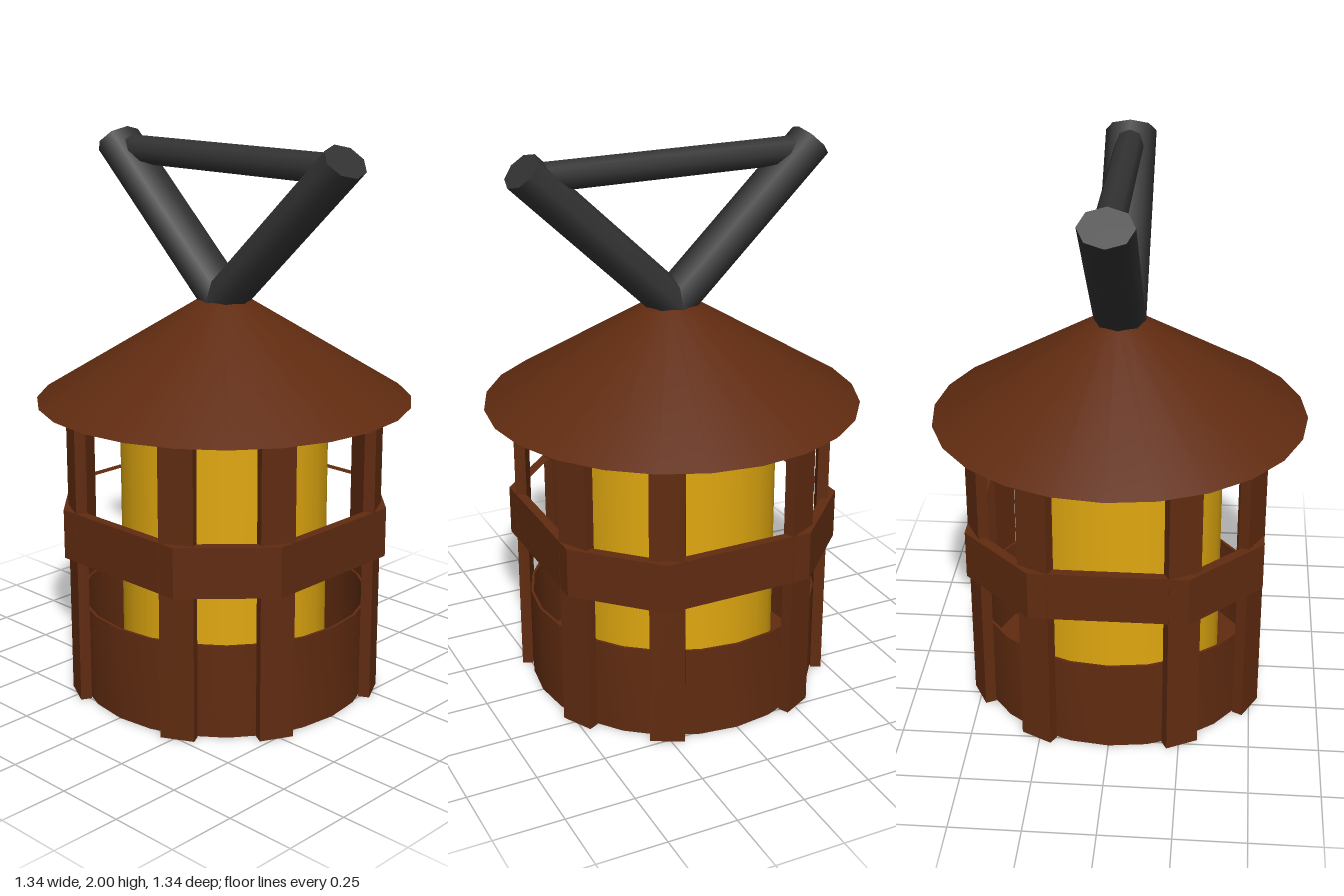
import * as THREE from 'three';
import { toCreasedNormals } from 'three/addons/utils/BufferGeometryUtils.js';

const brown = new THREE.MeshStandardMaterial({ color: 0x602b10 });
const brownThin = new THREE.MeshStandardMaterial({ color: 0x602b10, side: THREE.DoubleSide });
const amber = new THREE.MeshStandardMaterial({ color: 0xe0a810 });
const dark = new THREE.MeshStandardMaterial({ color: 0x333333 });

export function createModel() {
  const lantern = new THREE.Group();
  lantern.name = 'lantern';

  const add = (name, geometry, material) => {
    const mesh = new THREE.Mesh(geometry, material);
    mesh.name = name;
    lantern.add(mesh);
    return mesh;
  };
  const lathe = (points) => toCreasedNormals(
    new THREE.LatheGeometry(points.map(([r, y]) => new THREE.Vector2(r, y)), 24), 0.6);

  // Hollow cup at the bottom, open at the top
  add('base', lathe([[0, 0], [0.53, 0], [0.53, 0.34], [0.52, 0.34], [0.52, 0.01], [0, 0.01]]), brownThin);

  // Glowing core
  const core = add('lightCore', new THREE.CylinderGeometry(0.375, 0.375, 1.06, 24), amber);
  core.position.y = 0.545;

  // Conical roof with a softened tip and a flat underside
  add('roof', lathe([[0, 1.075], [0.67, 1.075], [0.1, 1.425], [0.05, 1.445], [0, 1.45]]), brown);

  // Eight posts, in pairs either side of each chamfered corner
  const tilt = THREE.MathUtils.degToRad(27.5);
  const angles = [];
  for (let i = 0; i < 4; i++) angles.push(i * Math.PI / 2 - tilt, i * Math.PI / 2 + tilt);
  const postDepth = 0.04;
  for (const a of angles) {
    const post = add('post', new THREE.BoxGeometry(0.122, 1.075, postDepth), brown);
    const r = 0.567 - postDepth / 2;
    post.position.set(r * Math.sin(a), 0.5375, r * Math.cos(a));
    post.rotation.y = a;
  }

  // Eight-sided band wrapping the posts
  const ring = (r) => angles.map((a) => new THREE.Vector2(r * Math.sin(a), r * Math.cos(a)));
  const bandShape = new THREE.Shape(ring(0.598));
  bandShape.holes.push(new THREE.Path(ring(0.56)));
  const bandGeometry = new THREE.ExtrudeGeometry(bandShape, { depth: 0.18, bevelEnabled: false });
  bandGeometry.rotateX(-Math.PI / 2).translate(0, 0.53, 0);
  add('band', bandGeometry, brown);

  // V-shaped handle arms, oval in section
  const up = new THREE.Vector3(0, 1, 0);
  const bar = (name, from, to, halfWidth, halfDepth) => {
    const dir = to.clone().sub(from);
    const geometry = new THREE.CylinderGeometry(1, 1, dir.length(), 8);
    geometry.scale(halfWidth, 1, halfDepth);
    const mesh = add(name, geometry, dark);
    mesh.position.copy(from).add(to).multiplyScalar(0.5);
    mesh.quaternion.setFromUnitVectors(up, dir.normalize());
  };
  for (const s of [1, -1]) {
    bar('handleArm', new THREE.Vector3(0, 1.43, 0), new THREE.Vector3(s * 0.54, 1.95, 0), 0.071, 0.092);
  }

  // Grip across the top
  bar('handleGrip', new THREE.Vector3(-0.5, 1.922, 0), new THREE.Vector3(0.5, 1.922, 0), 0.051, 0.052);

  return lantern;
}
